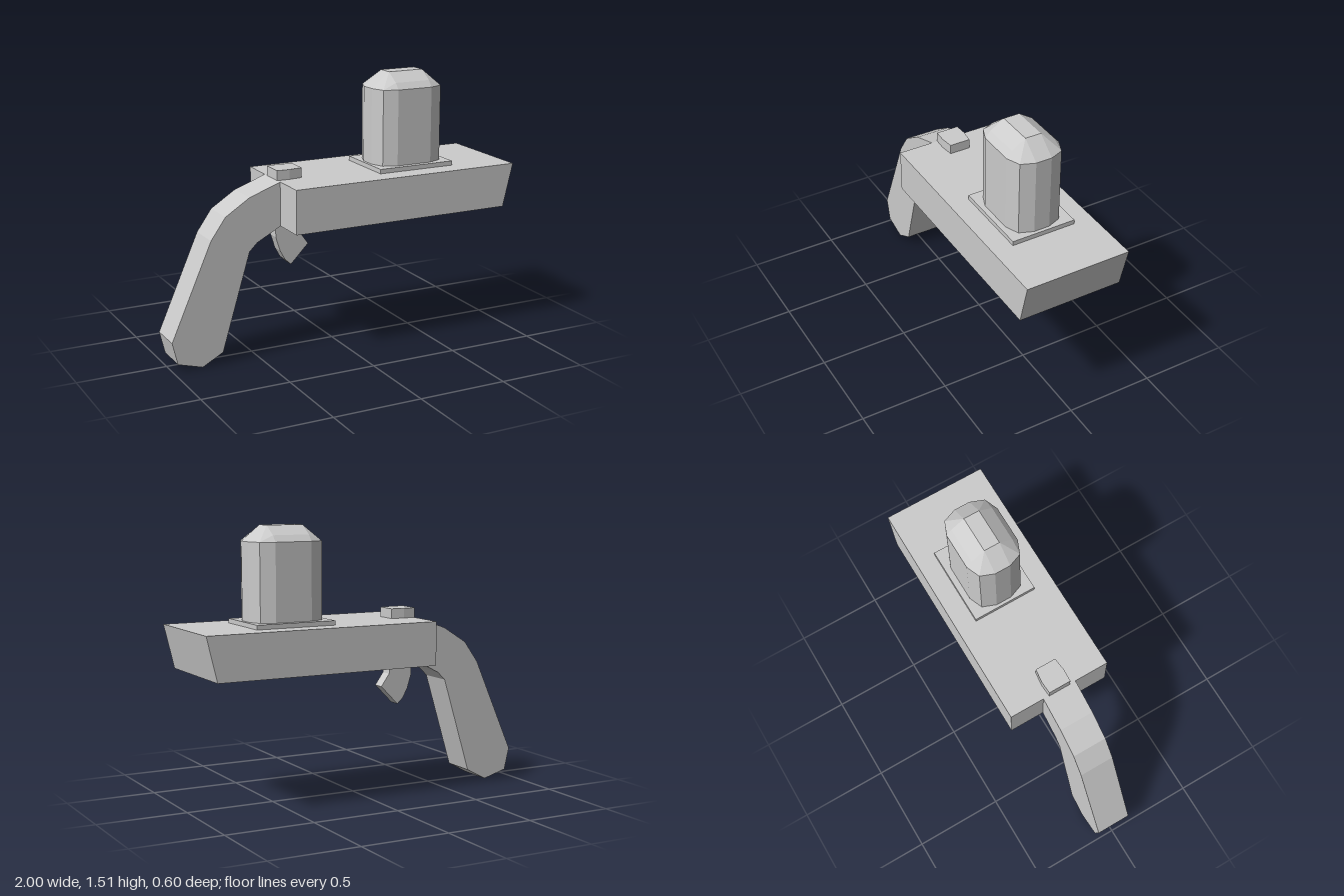
import * as THREE from 'three';
import { ConvexGeometry } from 'three/addons/geometries/ConvexGeometry.js';

const material = new THREE.MeshStandardMaterial({ color: 0xcccccc, flatShading: true });

function add(group, name, geometry) {
  const mesh = new THREE.Mesh(geometry, material);
  mesh.name = name;
  group.add(mesh);
  return mesh;
}

// Side outline (x, y) extruded symmetrically to the given thickness in z
function slab(outline, thickness) {
  const shape = new THREE.Shape(outline.map(([x, y]) => new THREE.Vector2(x, y)));
  const geometry = new THREE.ExtrudeGeometry(shape, { depth: thickness, bevelEnabled: false });
  return geometry.translate(0, 0, -thickness / 2);
}

// Upright tank: cross-sections along z, mirrored front to back
function tankGeometry(bottom, shoulder) {
  const sections = [
    // z, outer half width, top half width, top height
    [0.153, 0.105, 0.105, shoulder],
    [0.122, 0.182, 0.105, 1.46],
    [0.045, 0.212, 0.105, 1.51],
  ];
  const centre = 0.437;
  const points = [];
  for (const [z, outer, inner, top] of sections)
    for (const sx of [-1, 1])
      for (const sz of [-1, 1]) {
        points.push(new THREE.Vector3(centre + sx * outer, bottom, sz * z));
        points.push(new THREE.Vector3(centre + sx * outer, shoulder, sz * z));
        if (top > shoulder) points.push(new THREE.Vector3(centre + sx * inner, top, sz * z));
      }
  return new ConvexGeometry(points);
}

export function createModel() {
  const model = new THREE.Group();
  model.name = 'blaster';

  // Wide body with a slanted muzzle end
  add(model, 'body', slab([[-0.36, 0.73], [0.94, 0.73], [1, 0.975], [-0.36, 0.975]], 0.6));

  // Curved grip
  add(model, 'grip', slab([
    [-0.36, 0.975], [-0.54, 0.91], [-0.68, 0.82], [-0.765, 0.7], [-1, 0.165], [-0.97, 0.04],
    [-0.83, 0], [-0.71, 0.065], [-0.545, 0.61], [-0.5, 0.655], [-0.36, 0.73],
  ], 0.2));

  // Hooked trigger
  add(model, 'trigger', slab([
    [-0.36, 0.73], [-0.36, 0.65], [-0.335, 0.57], [-0.305, 0.515], [-0.27, 0.483], [-0.165, 0.59],
    [-0.19, 0.625], [-0.215, 0.66], [-0.22, 0.69], [-0.21, 0.73],
  ], 0.07));

  // Rear sight, narrowing slightly at both ends
  const sight = [[-0.362, 0.065], [-0.29, 0.069], [-0.213, 0.06]];
  add(model, 'rearSight', new ConvexGeometry(sight.flatMap(([x, z]) =>
    [-z, z].flatMap((side) => [0.975, 1.03].map((y) => new THREE.Vector3(x, y, side))))));

  // Mounting plate and tank
  const plate = add(model, 'mountingPlate', new THREE.BoxGeometry(0.46, 0.03, 0.37));
  plate.position.set(0.438, 0.985, -0.002);
  add(model, 'tank', tankGeometry(0.99, 1.425));

  return model;
}
